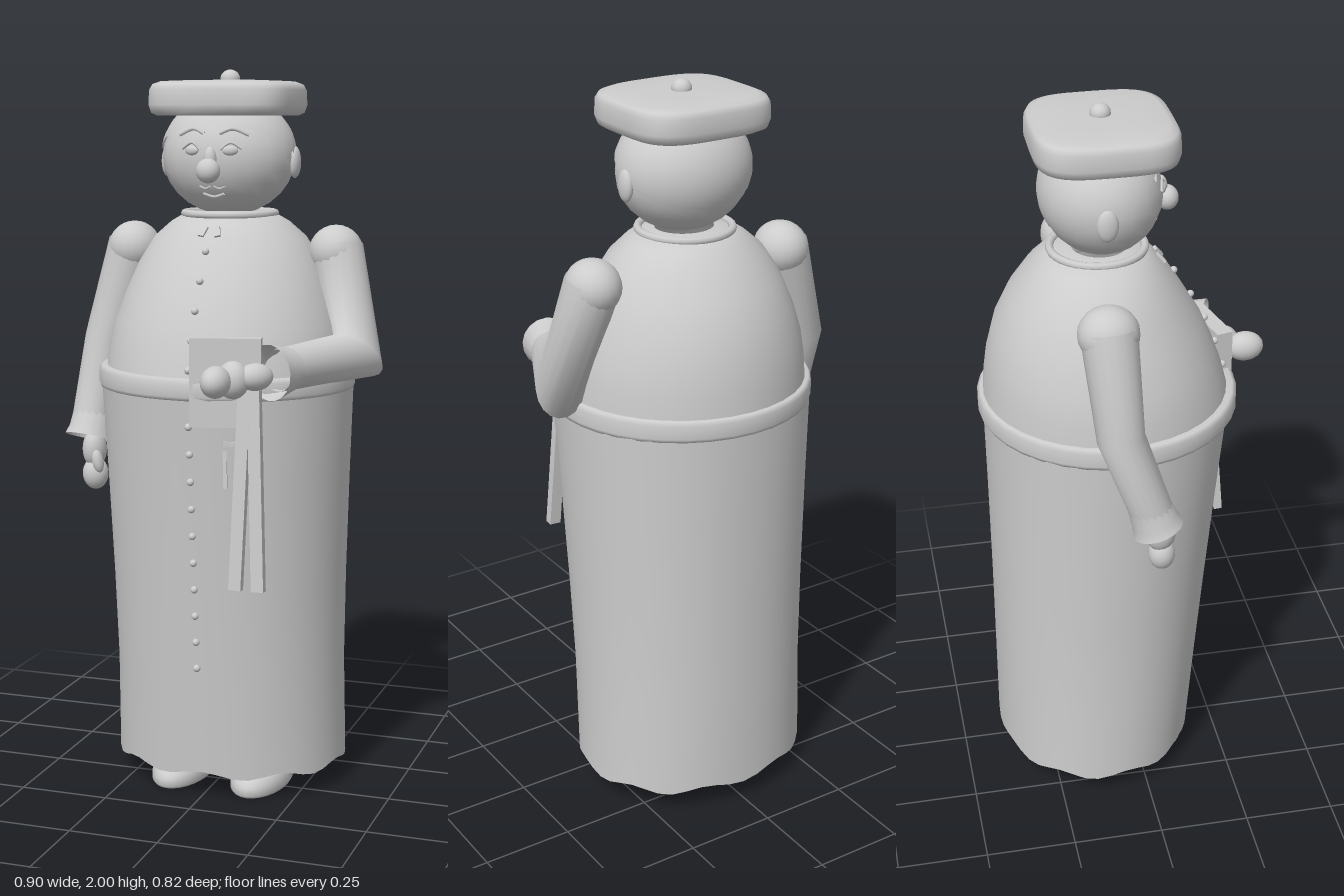
import * as THREE from 'three';

const V = (x, y, z) => new THREE.Vector3(x, y, z);

export function createModel() {
  const grey = new THREE.MeshStandardMaterial({ color: 0xcccccc, side: THREE.DoubleSide });
  grey.name = 'plain grey';
  const root = new THREE.Group();
  root.name = 'standingFigure';

  function add(name, geo, pos = [0, 0, 0], rot = [0, 0, 0], scale = [1, 1, 1], parent = root) {
    const m = new THREE.Mesh(geo, grey);
    m.name = name;
    m.position.set(...pos);
    m.rotation.set(...rot);
    m.scale.set(...scale);
    parent.add(m);
    return m;
  }
  const ball = (name, pos, scale, rot) =>
    add(name, new THREE.SphereGeometry(1, 20, 14), pos, rot, scale);

  // Surface through rings of points, each ring an array of Vector3
  function skin(rings) {
    const n = rings[0].length, pos = [], idx = [];
    rings.forEach(r => r.forEach(p => pos.push(p.x, p.y, p.z)));
    for (let k = 0; k < rings.length - 1; k++) {
      for (let i = 0; i < n; i++) {
        const a = k * n + i, b = k * n + (i + 1) % n;
        idx.push(a, a + n, b, b, a + n, b + n);
      }
    }
    const g = new THREE.BufferGeometry();
    g.setAttribute('position', new THREE.Float32BufferAttribute(pos, 3));
    g.setIndex(idx);
    g.computeVertexNormals();
    return g;
  }

  // Upright loft: rows of [y, half width, front z, back z], superellipse power p
  const CX = 0.005;
  function loft(rows, p = 2, seg = 36, wave = () => 0) {
    const pw = v => Math.sign(v) * Math.abs(v) ** (2 / p);
    return skin(rows.map(([y, rx, zf, zb], k) => Array.from({ length: seg }, (_, i) => {
      const a = i / seg * Math.PI * 2;
      return V(CX + rx * pw(Math.cos(a)), y + (k === 0 ? wave(a) : 0),
        (zf + zb) / 2 + (zf - zb) / 2 * pw(Math.sin(a)));
    })));
  }

  // Mitred tube through points with a radius at each
  function limb(points, radii, seg = 18) {
    const dir = points.slice(1).map((p, i) => p.clone().sub(points[i]).normalize());
    const q = new THREE.Quaternion().setFromUnitVectors(V(0, 1, 0), dir[0]);
    let ring = Array.from({ length: seg }, (_, i) => {
      const a = i / seg * Math.PI * 2;
      return V(Math.cos(a), 0, Math.sin(a)).multiplyScalar(radii[0]).applyQuaternion(q).add(points[0]);
    });
    const rings = [ring];
    for (let k = 1; k < points.length; k++) {
      const d = dir[k - 1], n = d.clone().add(dir[k] || d).normalize();
      const s = radii[k] / radii[k - 1];
      ring = ring.map(p => {
        const t = points[k].clone().sub(p).dot(n) / d.dot(n);
        return p.clone().addScaledVector(d, t).sub(points[k]).multiplyScalar(s).add(points[k]);
      });
      rings.push(ring);
    }
    return skin(rings);
  }

  // Robe: open skirt with a wavy hem, belt, rounded torso
  const skirt = [
    [0.07, 0.33, 0.17, -0.39], [0.35, 0.325, 0.195, -0.39], [0.6, 0.33, 0.217, -0.39],
    [0.9, 0.34, 0.245, -0.392], [1.15, 0.35, 0.27, -0.395]];
  const torso = [
    [1.18, 0.338, 0.272, -0.395], [1.25, 0.332, 0.255, -0.39], [1.32, 0.318, 0.23, -0.38],
    [1.4, 0.29, 0.195, -0.36], [1.48, 0.256, 0.148, -0.322], [1.55, 0.212, 0.103, -0.272],
    [1.59, 0.165, 0.067, -0.235], [1.61, 0.13, 0.04, -0.205], [1.615, 0.08, 0, -0.15]];
  add('skirt', loft(skirt, 2.1, 48, a => 0.009 * Math.sin(9 * a)));
  add('torso', loft(torso));
  add('belt', loft([
    [1.14, 0.34, 0.265, -0.39], [1.14, 0.354, 0.288, -0.405], [1.15, 0.357, 0.296, -0.41],
    [1.187, 0.357, 0.296, -0.41], [1.197, 0.35, 0.285, -0.402], [1.197, 0.33, 0.26, -0.385]]));
  add('collar', new THREE.TorusGeometry(0.125, 0.011, 8, 32), [CX, 1.612, -0.08], [Math.PI / 2, 0, 0]);

  // Front buttons following the robe surface
  const frontZ = y => {
    const t = y < 1.16 ? skirt : torso;
    for (let i = 1; i < t.length; i++) {
      if (y <= t[i][0]) {
        return THREE.MathUtils.mapLinear(y, t[i - 1][0], t[i][0], t[i - 1][2], t[i][2]);
      }
    }
    return 0;
  };
  for (let i = 0; i < 16; i++) {
    const y = 1.52 - i * 0.0755;
    if (Math.abs(y - 1.168) > 0.03) ball('button', [CX, y, frontZ(y) + 0.003], [0.01, 0.01, 0.01]);
  }
  for (const s of [-1, 1]) {
    add('collarTab', new THREE.BoxGeometry(0.016, 0.032, 0.008), [CX + s * 0.02, 1.57, 0.087], [-0.7, 0, s * 0.25]);
  }

  // Feet under the hem
  for (const s of [-1, 1]) {
    const x = CX + s * 0.118;
    const shoe = [[0, 0], [0.95, 0], [1, 0.008], [1, 0.028], [0.94, 0.036], [0.9, 0.05], [0.65, 0.068], [0, 0.075]];
    add('shoe', new THREE.LatheGeometry(shoe.map(p => new THREE.Vector2(...p)), 28),
      [x, 0, -0.024], [0, 0, 0], [0.081, 1, 0.157]);
    add('leg', new THREE.CylinderGeometry(0.052, 0.052, 0.4, 18), [x, 0.25, -0.08]);
  }

  // Head
  const HY = 1.765, HZ = -0.07, R = [0.184, 0.158, 0.16];
  ball('head', [CX, HY, HZ], R);
  add('hair', new THREE.SphereGeometry(1, 32, 16, 0, Math.PI * 2, 0, Math.PI / 2),
    [CX, HY + 0.008, HZ], [-0.5, 0, 0], [0.188, 0.162, 0.164]);
  const faceZ = (x, y) => HZ + R[2] * Math.sqrt(1 - (x / R[0]) ** 2 - ((y - HY) / R[1]) ** 2);
  const arc = (name, pts, r) => add(name, new THREE.TubeGeometry(
    new THREE.CatmullRomCurve3(pts.map(([x, y]) => V(CX + x, y, faceZ(x, y) + 0.002))), 12, r, 6));
  for (const s of [-1, 1]) {
    ball('eye', [CX + s * 0.054, 1.785, faceZ(0.054, 1.785)], [0.021, 0.013, 0.009], [0, s * 0.3, 0]);
    arc('eyelid', [[s * 0.028, 1.788], [s * 0.054, 1.806], [s * 0.084, 1.79]], 0.004);
    arc('eyebrow', [[s * 0.022, 1.83], [s * 0.055, 1.842], [s * 0.098, 1.826]], 0.005);
    ball('ear', [CX + s * 0.184, 1.752, -0.085], [0.016, 0.043, 0.028]);
    arc('moustache', [[s * 0.004, 1.69], [s * 0.02, 1.684], [s * 0.036, 1.69]], 0.003);
  }
  ball('nose', [CX, 1.732, 0.105], [0.033, 0.033, 0.03]);
  ball('noseBridge', [CX, 1.76, 0.088], [0.018, 0.035, 0.018]);
  arc('mouth', [[-0.03, 1.67], [0, 1.662], [0.03, 1.67]], 0.004);

  // Soft square cap with a knob
  add('cap', loft([
    [1.9, 0.14, 0.07, -0.2], [1.877, 0.178, 0.105, -0.235], [1.884, 0.193, 0.118, -0.249],
    [1.905, 0.2, 0.124, -0.255], [1.945, 0.198, 0.122, -0.253], [1.96, 0.19, 0.114, -0.245],
    [1.968, 0.17, 0.095, -0.225], [1.971, 0.1, 0.03, -0.16], [1.972, 0, -0.066, -0.066]], 3.6, 48));
  ball('capKnob', [0.009, 1.975, -0.068], [0.027, 0.025, 0.027]);

  // Hanging right arm
  ball('rightShoulder', [-0.288, 1.51, -0.105], [0.074, 0.074, 0.08]);
  add('rightSleeve', limb([V(-0.288, 1.52, -0.105), V(-0.37, 1.25, -0.09), V(-0.386, 1.02, -0.01)],
    [0.074, 0.062, 0.057]));
  add('rightCuff', limb([V(-0.384, 1.06, -0.025), V(-0.386, 1.0, -0.004), V(-0.388, 0.975, 0.004)],
    [0.055, 0.062, 0.07]));
  ball('rightPalm', [-0.368, 0.945, 0.015], [0.034, 0.055, 0.04]);
  ball('rightFingers', [-0.364, 0.875, 0.02], [0.037, 0.046, 0.036]);
  ball('rightThumb', [-0.348, 0.915, 0.042], [0.016, 0.035, 0.018], [0, 0, 0.2]);

  // Bent left arm
  ball('leftShoulder', [0.302, 1.51, -0.105], [0.074, 0.074, 0.08]);
  add('leftSleeve', limb([V(0.302, 1.52, -0.105), V(0.375, 1.235, -0.055), V(0.24, 1.225, 0.235)],
    [0.075, 0.066, 0.056]));
  add('leftCuff', limb([V(0.262, 1.226, 0.19), V(0.242, 1.223, 0.235), V(0.228, 1.222, 0.265)],
    [0.056, 0.066, 0.074]));
  ball('leftWrist', [0.195, 1.212, 0.28], [0.05, 0.036, 0.036], [0, 0.8, 0]);
  ball('leftPalm', [0.143, 1.205, 0.305], [0.043, 0.05, 0.042]);
  ball('leftFingers', [0.113, 1.205, 0.357], [0.039, 0.042, 0.053]);

  // Book held at the waist with two hanging ribbons
  add('book', new THREE.BoxGeometry(0.188, 0.235, 0.046), [0.105, 1.19, 0.252], [0, 0.235, 0]);
  for (const [x0, x1] of [[0.162, 0.149], [0.186, 0.212]]) {
    const ribbon = add('ribbon', new THREE.BoxGeometry(0.034, 0.53, 0.024),
      [(x0 + x1) / 2, 0.91, 0.28], [-0.075, 0, Math.atan((x1 - x0) / 0.53)]);
    ribbon.rotation.order = 'ZXY';
  }

  // Small cord and clasp on the skirt
  add('cord', new THREE.BoxGeometry(0.01, 0.13, 0.01), [0.1, 0.97, 0.243], [-0.09, 0.2, 0.05]);
  add('clasp', new THREE.BoxGeometry(0.03, 0.012, 0.01), [0.112, 1.025, 0.246], [0, 0.2, 0]);

  return root;
}
